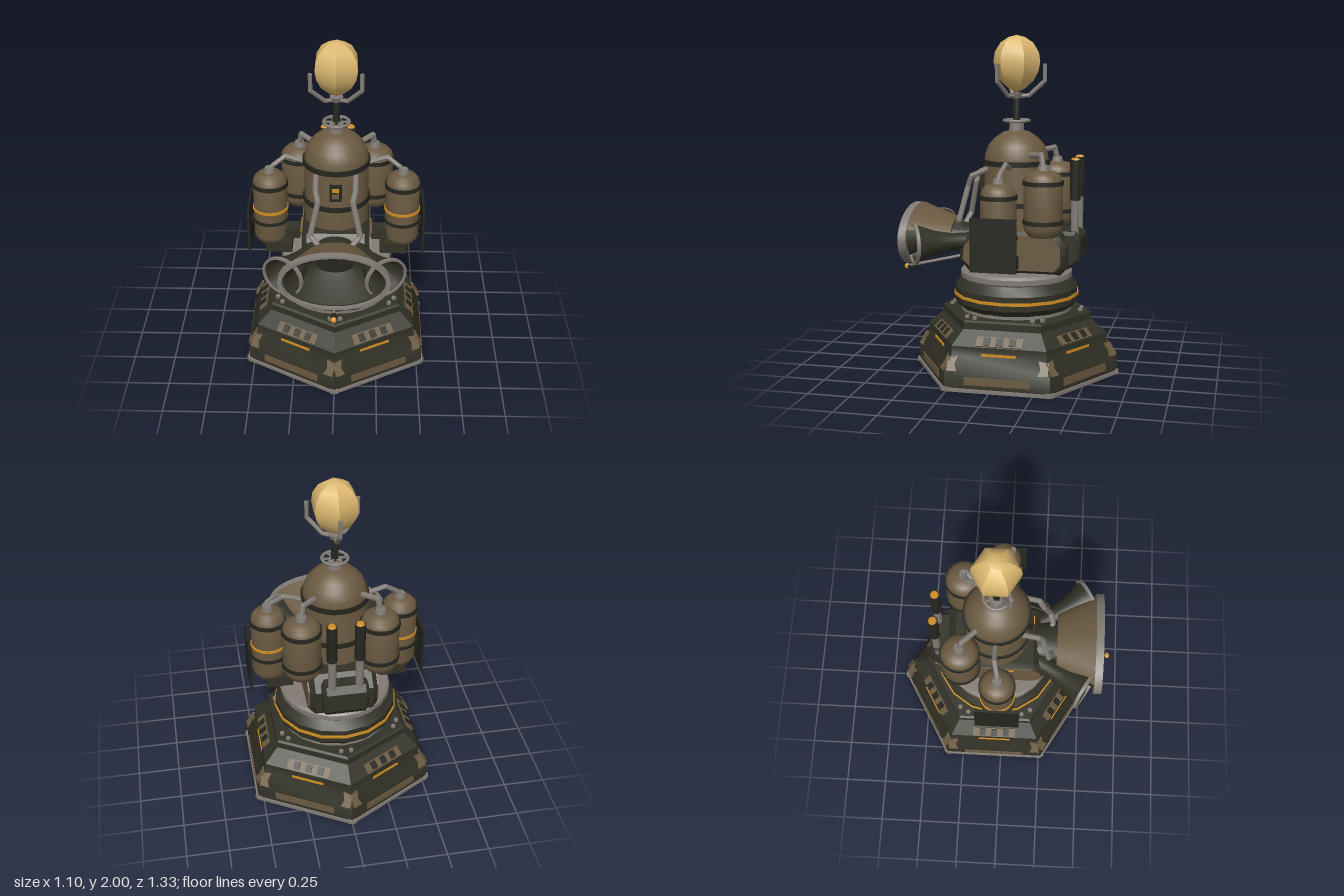
import * as THREE from 'three';
import { toCreasedNormals } from 'three/addons/utils/BufferGeometryUtils.js';

const material = (name, color, side = THREE.FrontSide) => {
  const m = new THREE.MeshStandardMaterial({ color, side });
  m.name = name;
  return m;
};
const dark = material('dark olive armour', 0x313126, THREE.DoubleSide);
const brown = material('bronze brown', 0x6b5a41, THREE.DoubleSide);
const steel = material('grey steel', 0x827b75);
const black = material('black rubber', 0x25261f);
const gold = material('gold trim', 0xd08e22);
const crystalMat = material('pale crystal', 0xdcb870);

const CZ = -0.045; // centre of the tower

export function createModel() {
  const root = new THREE.Group();
  root.name = 'turret';

  const add = (name, geo, mat, pos = [0, 0, 0], parent = root) => {
    const m = new THREE.Mesh(toCreasedNormals(geo, 0.6), mat);
    m.name = name;
    m.position.set(...pos);
    parent.add(m);
    return m;
  };
  const group = (name, x, y, z, parent = root) => {
    const g = new THREE.Group();
    g.name = name;
    g.position.set(x, y, z);
    parent.add(g);
    return g;
  };
  const box = (name, mat, size, pos, parent) => add(name, new THREE.BoxGeometry(...size), mat, pos, parent);
  const lathe = (pts, seg = 24, start, len) =>
    new THREE.LatheGeometry(pts.map(([r, y]) => new THREE.Vector2(r, y)), seg, start, len);
  // Pipe of straight lengths with rounded joints
  const pipe = (name, mat, r, points, parent) => {
    const g = group(name, 0, 0, 0, parent);
    const v = points.map((p) => new THREE.Vector3(...p));
    for (let i = 0; i + 1 < v.length; i++) {
      const d = v[i + 1].clone().sub(v[i]);
      const m = add(name, new THREE.CylinderGeometry(r, r, d.length(), 8), mat, [0, 0, 0], g);
      m.position.copy(v[i]).addScaledVector(d, 0.5);
      m.quaternion.setFromUnitVectors(new THREE.Vector3(0, 1, 0), d.normalize());
      if (i) add(name + 'Joint', new THREE.SphereGeometry(r, 8, 6), mat, points[i], g);
    }
  };
  // Plate cut from a side outline of [z, y] points
  const sidePlate = (name, mat, pts, width, x, bevel) => {
    const geo = new THREE.ExtrudeGeometry(new THREE.Shape(pts.map((p) => new THREE.Vector2(...p))), {
      depth: width - 2 * bevel, bevelEnabled: bevel > 0, bevelSize: bevel, bevelThickness: bevel, bevelOffset: -bevel, bevelSegments: 1,
    });
    geo.translate(0, 0, -width / 2 + bevel).rotateY(-Math.PI / 2);
    return add(name, geo, mat, [x, 0, 0]);
  };

  // Hexagonal base
  const base = group('base', 0, 0, CZ);
  add('basePlate', lathe([[0, 0], [0.625, 0], [0.625, 0.02], [0, 0.02]], 6), steel, [0, 0, 0], base);
  add('baseTiers', lathe([[0, 0.01], [0.613, 0.01], [0.613, 0.11], [0.55, 0.2], [0.55, 0.25], [0.455, 0.33],
    [0.455, 0.37], [0.44, 0.38], [0, 0.38]], 6), dark, [0, 0, 0], base);
  for (let k = 0; k < 6; k++) {
    const face = group('baseFace', 0, 0, 0, base);
    face.rotation.y = (k + 0.5) * Math.PI / 3;
    box('lowerPanel', brown, [0.38, 0.045, 0.009], [0, 0.067, 0.532], face);
    box('goldStrip', gold, [0.2, 0.014, 0.009], [0, 0.207, 0.478], face);
    const vent = group('vent', 0, 0.276, 0.45, face);
    vent.rotation.x = -Math.atan2(0.082, 0.08);
    box('ventPlate', brown, [0.27, 0.062, 0.009], [0, 0, 0.002], vent);
    for (const x of [-0.075, 0, 0.075]) box('ventSlot', black, [0.038, 0.048, 0.012], [x, 0, 0.006], vent);
    for (const s of [-1, 1]) {
      const br = group('cornerBracket', s * 0.268, 0.15, 0.508, face);
      br.rotation.x = -Math.atan2(0.056, 0.09);
      const w = new THREE.Shape([[0.025, -0.04], [0.025, 0.04], [-0.035, 0.05], [-0.02, 0], [-0.035, -0.04]]
        .map(([x, y]) => new THREE.Vector2(s > 0 ? x : -x, y)));
      add('bracketPlate', new THREE.ExtrudeGeometry(w, { depth: 0.012, bevelEnabled: false }), brown, [0, 0, -0.004], br);
      add('bolt', new THREE.CylinderGeometry(0.014, 0.014, 0.02, 8), steel, [s * 0.17, 0.385, 0.355], face);
    }
    const corner = group('cornerFoot', 0, 0, 0, base);
    corner.rotation.y = k * Math.PI / 3;
    box('foot', steel, [0.045, 0.025, 0.03], [0, 0.0125, 0.605], corner);
  }

  // Rotating ring
  const ring = group('turntable', 0, 0, CZ);
  add('lowerCollar', lathe([[0, 0.37], [0.335, 0.37], [0.335, 0.41], [0, 0.41]]), steel, [0, 0, 0], ring);
  add('drum', lathe([[0, 0.4], [0.34, 0.4], [0.37, 0.435], [0.37, 0.52], [0.325, 0.575], [0, 0.575]], 16), dark, [0, 0, 0], ring);
  add('goldBand', lathe([[0.36, 0.47], [0.378, 0.47], [0.378, 0.487], [0.36, 0.487]], 16), gold, [0, 0, 0], ring);
  add('upperCollar', lathe([[0, 0.57], [0.325, 0.57], [0.335, 0.58], [0.335, 0.61], [0.32, 0.625], [0, 0.625]]), steel, [0, 0, 0], ring);

  // Housing with side plates
  sidePlate('housing', dark, [[0.2, 0.62], [0.26, 0.69], [0.26, 0.79], [0.18, 0.88], [-0.3, 0.88], [-0.38, 0.8], [-0.38, 0.66], [-0.34, 0.62]], 0.4, 0, 0.03);
  for (const s of [-1, 1]) {
    sidePlate('housingSidePlate', brown, [[0.18, 0.645], [0.235, 0.7], [0.225, 0.78], [0.165, 0.85], [-0.28, 0.85], [-0.345, 0.79], [-0.345, 0.69], [-0.31, 0.645]], 0.016, s * 0.2, 0);
    box('housingGoldStrip', gold, [0.008, 0.014, 0.15], [s * 0.209, 0.825, -0.01]);
  }
  sidePlate('rearBox', dark, [[-0.34, 0.63], [-0.42, 0.67], [-0.45, 0.71], [-0.45, 0.83], [-0.42, 0.87], [-0.34, 0.87]], 0.27, 0, 0.02);

  // Main tank
  const tank = group('mainTank', 0, 0, CZ);
  add('tankShell', lathe([[0, 0.84], [0.19, 0.84], [0.19, 1.27], [0.185, 1.31], [0.165, 1.36], [0.13, 1.4], [0.08, 1.435], [0.04, 1.445], [0, 1.445]], 28), brown, [0, 0, 0], tank);
  for (const y of [1.02, 1.26]) add('tankBand', lathe([[0.18, y - 0.015], [0.2, y - 0.015], [0.2, y + 0.015], [0.18, y + 0.015]], 28), black, [0, 0, 0], tank);
  box('console', black, [0.07, 0.1, 0.03], [0, 1.14, 0.2], tank);
  box('consoleLamp', gold, [0.042, 0.024, 0.008], [0, 1.165, 0.217], tank);
  box('consolePanel', brown, [0.042, 0.03, 0.006], [0, 1.125, 0.216], tank);

  // Mast, cradle and crystal
  add('mastCap', new THREE.CylinderGeometry(0.042, 0.046, 0.055, 16), steel, [0, 1.465, 0], tank);
  add('mastRing', new THREE.TorusGeometry(0.075, 0.009, 8, 20).rotateX(Math.PI / 2), steel, [0, 1.502, 0], tank);
  for (let i = 0; i < 3; i++) {
    const spoke = box('ringSpoke', steel, [0.15, 0.01, 0.012], [0, 1.502, 0], tank);
    spoke.rotation.y = i * Math.PI / 3;
  }
  add('mast', new THREE.CylinderGeometry(0.018, 0.023, 0.15, 12), black, [0, 1.565, 0], tank);
  add('cradleHub', new THREE.CylinderGeometry(0.04, 0.028, 0.03, 12), steel, [0, 1.648, 0], tank);
  for (let i = 0; i < 3; i++) {
    const arm = group('cradleArm', 0, 0, 0, tank);
    arm.rotation.y = Math.PI + i * Math.PI * 2 / 3;
    pipe('cradleProng', steel, 0.013, [[0, 1.645, 0.02], [0, 1.65, 0.075], [0, 1.735, 0.168], [0, 1.835, 0.168]], arm);
  }
  add('crystal', lathe([[0, 1.665], [0.05, 1.69], [0.1, 1.735], [0.13, 1.79], [0.14, 1.845], [0.132, 1.9], [0.098, 1.955], [0.05, 1.987], [0, 2]], 6), crystalMat, [0, 0, 0], tank);

  // Four small tanks and the pipes that feed them
  const smallTank = (name, x, z, r, y0, y1, bands) => {
    const g = group(name, x, 0, z);
    add('shell', lathe([[0, y0], [r * 0.75, y0], [r * 0.95, y0 + 0.03], [r, y0 + 0.05], [r, y1 - 0.07], [r * 0.92, y1 - 0.035], [r * 0.7, y1 - 0.01], [r * 0.35, y1], [0, y1]]), brown, [0, 0, 0], g);
    for (const [y, h, mat] of bands) add('band', lathe([[r * 0.95, y - h], [r + 0.006, y - h], [r + 0.006, y + h], [r * 0.95, y + h]]), mat, [0, 0, 0], g);
    add('valve', new THREE.CylinderGeometry(0.028, 0.036, 0.04, 12), steel, [0, y1 + 0.01, 0], g);
  };
  for (const s of [-1, 1]) {
    smallTank('sideTank', s * 0.395, -0.025, 0.102, 0.72, 1.18, [[1.105, 0.012, black], [0.945, 0.008, gold], [0.87, 0.01, black]]);
    pipe('sideFeedPipe', steel, 0.015, [[s * 0.395, 1.2, -0.025], [s * 0.37, 1.225, -0.027], [s * 0.3, 1.275, -0.045], [s * 0.17, 1.235, -0.045]]);
    smallTank('rearTank', s * 0.228, -0.25, 0.112, 0.86, 1.24, [[1.17, 0.012, black], [0.945, 0.012, black]]);
    pipe('rearFeedPipe', steel, 0.017, [[s * 0.228, 1.25, -0.25], [s * 0.215, 1.325, -0.235], [s * 0.12, 1.31, -0.14]]);
    box('tankFoot', dark, [0.16, 0.07, 0.18], [s * 0.345, 0.71, -0.025]);
    box('tankBracket', dark, [0.15, 0.06, 0.1], [s * 0.255, 0.78, -0.025]);

    // Side shield on a short strut
    box('shield', black, [0.014, 0.305, 0.265], [s * 0.518, 0.848, -0.023]);
    box('shieldStrut', black, [0.06, 0.03, 0.05], [s * 0.49, 0.86, -0.025]);

    // Rear antenna
    add('antennaStem', new THREE.CylinderGeometry(0.024, 0.024, 0.27, 12), steel, [s * 0.08, 0.955, -0.41]);
    add('antennaSleeve', new THREE.CylinderGeometry(0.031, 0.031, 0.235, 12), black, [s * 0.08, 1.17, -0.41]);
    add('antennaTip', new THREE.CylinderGeometry(0.02, 0.027, 0.012, 8), gold, [s * 0.08, 1.292, -0.41]);

    // Hoses from the main tank to the horn
    pipe('frontHose', steel, 0.017, [[s * 0.115, 1.225, 0.1], [s * 0.115, 1.18, 0.2], [s * 0.1, 1.12, 0.225], [s * 0.145, 0.92, 0.27], [s * 0.1, 0.87, 0.29], [s * 0.06, 0.83, 0.28]]);
  }

  // Horn shells point along +z
  const horn = (name, mat, pts, sx, pos, parent, start, len) =>
    add(name, lathe(pts, 28, start, len).rotateX(Math.PI / 2).scale(sx, 1, 1), mat, pos, parent);
  const main = group('mainHorn', 0, 0.81, 0);
  horn('hornBell', dark, [[0, 0.2], [0.065, 0.2], [0.075, 0.32], [0.11, 0.42], [0.172, 0.575], [0.16, 0.575], [0.1, 0.43], [0.065, 0.37], [0, 0.37]], 1.75, [0, 0, 0], main);
  horn('hornThroat', black, [[0.058, 0.37], [0.058, 0.38], [0, 0.38]], 1.9, [0, -0.01, 0], main);
  horn('hornRim', steel, [[0.165, 0.55], [0.182, 0.55], [0.182, 0.597], [0.168, 0.597], [0.165, 0.55]], 1.75, [0, 0, 0], main);
  horn('hornHood', brown, [[0.085, 0.32], [0.1, 0.32], [0.181, 0.56], [0.17, 0.56], [0.085, 0.32]], 1.75, [0, 0, 0], main, Math.PI - 1.2, 2.4);
  add('hornNeck', new THREE.CylinderGeometry(0.075, 0.09, 0.16, 16).rotateX(Math.PI / 2), dark, [0, 0.78, 0.25]);

  // Smaller horns angled outwards
  for (const s of [-1, 1]) {
    const g = group('sideHorn', s * 0.13, 0.795, 0.22);
    g.rotation.y = s * 0.52;
    horn('sideBell', dark, [[0, -0.04], [0.05, -0.04], [0.05, 0.1], [0.07, 0.2], [0.115, 0.325], [0.105, 0.325], [0.06, 0.2], [0, 0.16]], 1.1, [0, 0, 0], g);
    horn('sideRim', steel, [[0.108, 0.315], [0.121, 0.315], [0.121, 0.335], [0.108, 0.335], [0.108, 0.315]], 1.1, [0, 0, 0], g);
    for (const a of [-0.7, 0.7]) pipe('hornStay', steel, 0.006, [[s * 0.19, 0.81 + a * 0.08, 0.43], [s * 0.16, 0.81 + a * 0.04, 0.4]]);
  }

  // Probe under the horn
  pipe('probeRod', steel, 0.009, [[0, 0.69, 0.24], [0, 0.605, 0.6]]);
  add('probeSleeve', new THREE.CylinderGeometry(0.018, 0.018, 0.035, 10).rotateX(Math.PI / 2), black, [0, 0.597, 0.615]);
  add('probeTip', new THREE.SphereGeometry(0.018, 12, 8), gold, [0, 0.595, 0.642]);

  return root;
}
